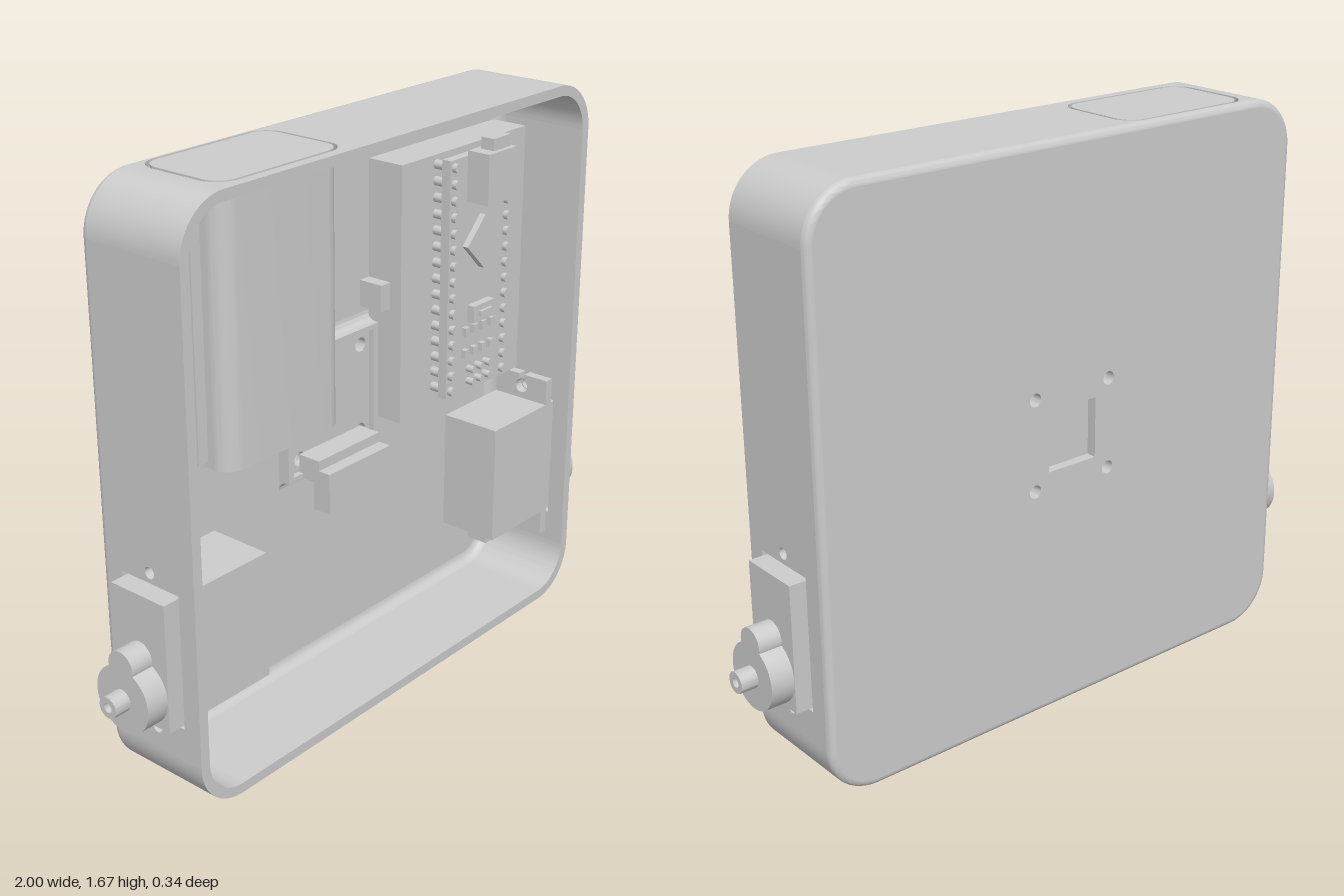
import * as THREE from 'three';
import { toCreasedNormals } from 'three/addons/utils/BufferGeometryUtils.js';

const grey = new THREE.MeshStandardMaterial({ color: 0xcccccc, side: THREE.DoubleSide });
const W = 0.835, H = 1.675, R = 0.15, T = 0.03, FLOOR = -0.14, FRONT = 0.17;

function add(parent, name, geometry) {
  const mesh = new THREE.Mesh(geometry, grey);
  mesh.name = name;
  parent.add(mesh);
  return mesh;
}

function group(parent, name) {
  const g = new THREE.Group();
  g.name = name;
  parent.add(g);
  return g;
}

function box(parent, name, x0, x1, y0, y1, z0, z1) {
  const g = new THREE.BoxGeometry(x1 - x0, y1 - y0, z1 - z0);
  return add(parent, name, g.translate((x0 + x1) / 2, (y0 + y1) / 2, (z0 + z1) / 2));
}

// Cylinder along the axis 'x', 'y' or 'z', centred on the given point
function rod(parent, name, axis, r, length, x, y, z, sides = 24) {
  let g = new THREE.CylinderGeometry(r, r, length, sides);
  if (axis === 'x') g.rotateZ(-Math.PI / 2);
  if (axis === 'z') g.rotateX(Math.PI / 2);
  return add(parent, name, g.translate(x, y, z));
}

function roundRect(x0, x1, y0, y1, r, Type = THREE.Shape) {
  const s = new Type(), q = Math.PI / 2;
  s.moveTo(x0 + r, y0);
  s.absarc(x1 - r, y0 + r, r, -q, 0);
  s.absarc(x1 - r, y1 - r, r, 0, q);
  s.absarc(x0 + r, y1 - r, r, q, 2 * q);
  s.absarc(x0 + r, y0 + r, r, 2 * q, 3 * q);
  s.closePath();
  return s;
}

function rect(x0, x1, y0, y1, Type = THREE.Shape) {
  return new Type([[x0, y0], [x1, y0], [x1, y1], [x0, y1]].map(p => new THREE.Vector2(...p)));
}

const circle = (x, y, r) => new THREE.Path().absarc(x, y, r, 0, Math.PI * 2);

function extrude(shape, depth, holes = []) {
  shape.holes.push(...holes);
  const g = new THREE.ExtrudeGeometry(shape, { depth, bevelEnabled: false, curveSegments: 10 });
  return toCreasedNormals(g, 0.5);
}

// Surface through rounded outlines of the case, each given as [inset, z]
function loftOutline(steps) {
  const pos = [], idx = [];
  let n = 0;
  for (const [d, z] of steps) {
    const pts = roundRect(-W + d, W - d, d, H - d, R - d).getPoints(10);
    n = pts.length;
    pts.forEach(p => pos.push(p.x, p.y, z));
  }
  for (let i = 0; i < steps.length - 1; i++)
    for (let j = 0; j < n; j++) {
      const a = i * n + j, b = i * n + (j + 1) % n;
      idx.push(a, a + n, b, b, a + n, b + n);
    }
  const g = new THREE.BufferGeometry();
  g.setAttribute('position', new THREE.Float32BufferAttribute(pos, 3));
  g.setIndex(idx);
  return toCreasedNormals(g, 0.6);
}

const quarter = f => [0, 1, 2, 3, 4, 5].map(i => f(i / 5 * Math.PI / 2));

function buildCase(root) {
  const c = group(root, 'case');
  const e = 0.02, zb = -FRONT + e;

  // Back plate with sensor window and four screw holes
  const holes = [rect(-0.085, 0.085, 0.75, 0.93, THREE.Path)];
  for (const x of [-0.133, 0.133]) for (const y of [0.705, 0.975]) holes.push(circle(x, y, 0.02));
  add(c, 'backPlate', extrude(roundRect(-W + e, W - e, e, H - e, R - e), 0.03, holes).translate(0, 0, -FRONT));
  add(c, 'backRoundedEdge', loftOutline(quarter(a => [e * (1 - Math.sin(a)), zb - e * Math.cos(a)])));
  add(c, 'innerFillet', loftOutline(quarter(a => [T + 0.03 * (1 - Math.sin(a)), FLOOR + 0.03 * (1 - Math.cos(a))])));

  // Side walls with motor windows and screw holes
  for (const s of [1, -1]) {
    const g = extrude(rect(-FRONT, -zb, R, H - R), T, [
      rect(-0.113, 0.093, 0.25, 0.645, THREE.Path), circle(-0.01, 0.675, 0.017), circle(-0.01, 0.215, 0.017)]);
    add(c, s > 0 ? 'leftWall' : 'rightWall', g.rotateY(Math.PI / 2).translate(s > 0 ? W - T : -W, 0, 0));
  }
  // Top wall with battery opening, plain bottom wall
  const top = extrude(rect(-W + R, W - R, -FRONT, -zb), T, [roundRect(-0.673, -0.212, -0.14, 0.147, 0.065, THREE.Path)]);
  add(c, 'topWall', top.rotateX(-Math.PI / 2).translate(0, H - T, 0));
  box(c, 'bottomWall', -W + R, W - R, 0, T, zb, FRONT);

  // Rounded corners
  for (let i = 0; i < 4; i++) {
    const a = i * Math.PI / 2, b = a + Math.PI / 2;
    const s = new THREE.Shape();
    s.absarc(0, 0, R, a, b, false);
    s.absarc(0, 0, R - T, b, a, true);
    s.closePath();
    const x = (i === 0 || i === 3 ? 1 : -1) * (W - R), y = i < 2 ? H - R : R;
    add(c, 'corner', extrude(s, FRONT - zb).translate(x, y, zb));
  }
}

// Concave strip where a wall meets the floor, running along local z
function cove(parent, length, x, y, angle) {
  const r = 0.03, s = new THREE.Shape();
  s.moveTo(0, 0);
  s.lineTo(r, 0);
  s.absarc(r, r, r, -Math.PI / 2, -Math.PI, true);
  s.closePath();
  const g = extrude(s, length).rotateX(Math.PI / 2).rotateZ(angle);
  add(parent, 'cove', g.translate(x, y, FLOOR));
}

function buildBattery(root) {
  const b = group(root, 'battery');
  const g = extrude(roundRect(-0.66, -0.222, -0.13, 0.138, 0.055), H - 0.92);
  add(b, 'batteryBody', g.rotateX(-Math.PI / 2).translate(0, 0.92, 0));
  rod(b, 'hexTerminal', 'y', 0.067, 0.03, -0.548, 0.905, 0, 6);
  rod(b, 'roundTerminal', 'y', 0.047, 0.03, -0.335, 0.905, 0);

  const h = group(root, 'batteryHolder');
  box(h, 'holderWall', -0.215, -0.192, 0.94, H - T, FLOOR, 0.065);
  box(h, 'holderWall', -0.7, -0.667, 0.94, H - T, FLOOR, 0.065);
  cove(h, 0.62, -0.192, H - T, 0);
  cove(h, 0.7, -0.7, 0.94, Math.PI);
}

function buildSensor(root) {
  const s = group(root, 'sensorModule');
  add(s, 'sensorFrame', extrude(rect(-0.195, 0.195, 0.65, 1.03), 0.04, [rect(-0.175, 0.175, 0.665, 1.015, THREE.Path)]).translate(0, 0, FLOOR));
  const holes = [];
  for (const x of [-0.133, 0.133]) for (const y of [0.705, 0.975]) holes.push(circle(x, y, 0.022));
  add(s, 'sensorBoard', extrude(rect(-0.172, 0.172, 0.667, 1.012), 0.025, holes).translate(0, 0, FLOOR));
  box(s, 'connectorBase', -0.135, 0.13, 0.65, 0.69, -0.115, -0.06);
  box(s, 'connector', -0.135, 0.13, 0.565, 0.69, -0.06, 0);
  box(s, 'connectorLip', -0.135, 0.13, 0.69, 0.72, -0.115, -0.04);
  cove(s, 0.39, -0.195, 1.03, Math.PI / 2);
  cove(s, 0.39, 0.195, 0.65, -Math.PI / 2);
}

function buildController(root) {
  const c = group(root, 'controller');
  box(c, 'mountingBlock', 0.2, 0.785, 0.73, 1.51, FLOOR, -0.02);
  box(c, 'blockTab', 0.16, 0.2, 1.08, 1.16, FLOOR, -0.06);
  box(c, 'circuitBoard', 0.335, 0.625, 0.78, 1.505, 0.015, 0.045);
  for (const x of [0.354, 0.606])
    for (let i = 0; i < 15; i++) rod(c, 'pin', 'z', 0.014, 0.08, x, 0.802 + i * 0.0486, 0.02, 10);
  box(c, 'usbSocket', 0.415, 0.545, 1.37, 1.52, 0.045, 0.12);
  box(c, 'usbPlug', 0.455, 0.535, 1.52, 1.555, 0.06, 0.105);
  const chip = add(c, 'chip', new THREE.BoxGeometry(0.115, 0.115, 0.02));
  chip.position.set(0.48, 1.24, 0.055);
  chip.rotation.z = Math.PI / 4;
  box(c, 'buttonBase', 0.43, 0.53, 1, 1.052, 0.045, 0.07);
  box(c, 'button', 0.452, 0.508, 1.018, 1.034, 0.07, 0.08);
  for (let i = 0; i < 4; i++)
    for (const y of [0.975, 0.905]) box(c, 'component', 0.406 + i * 0.041, 0.424 + i * 0.041, y - 0.013, y + 0.013, 0.045, 0.06);
  for (let i = 0; i < 3; i++)
    for (const y of [0.85, 0.81]) rod(c, 'headerPin', 'z', 0.011, 0.03, 0.44 + i * 0.04, y, 0.055, 10);
}

// Motor pointing towards +x, symmetric about z = 0
function buildMotor(root, name) {
  const m = group(root, name);
  box(m, 'motorBody', 0.51, 0.882, 0.26, 0.635, -0.098, 0.095);

  // Mounting ears with keyhole slots
  for (const up of [true, false]) {
    const s = new THREE.Shape();
    s.moveTo(-0.095, 0);
    s.lineTo(0.095, 0);
    s.lineTo(0.095, 0.082);
    s.lineTo(0.01, 0.082);
    s.absarc(0, 0.042, 0.022, 1.1, Math.PI - 1.1, true);
    s.lineTo(-0.01, 0.082);
    s.lineTo(-0.095, 0.082);
    s.closePath();
    const g = extrude(s, 0.03).rotateY(Math.PI / 2);
    if (!up) g.rotateX(Math.PI);
    add(m, 'mountingEar', g.translate(0.775, up ? 0.634 : 0.261, 0));
  }
  rod(m, 'gearHousing', 'x', 0.096, 0.07, 0.915, 0.355, 0, 40);
  rod(m, 'smallGearHousing', 'x', 0.045, 0.07, 0.915, 0.452, 0);

  // Hollow output shaft
  const ring = new THREE.Shape().absarc(0, 0, 0.031, 0, Math.PI * 2);
  add(m, 'outputShaft', extrude(ring, 0.055, [circle(0, 0, 0.014)]).rotateY(Math.PI / 2).translate(0.945, 0.355, 0));
  box(m, 'cableStub', 0.56, 0.583, 0.21, 0.26, -0.035, 0.035);
  return m;
}

export function createModel() {
  const root = new THREE.Group();
  root.name = 'robotBase';
  buildCase(root);
  buildBattery(root);
  buildSensor(root);
  buildController(root);
  for (const side of ['left', 'right']) {
    const m = buildMotor(root, side + 'Motor');
    m.position.z = 0.01;
    if (side === 'right') m.rotation.y = Math.PI;
  }
  return root;
}
